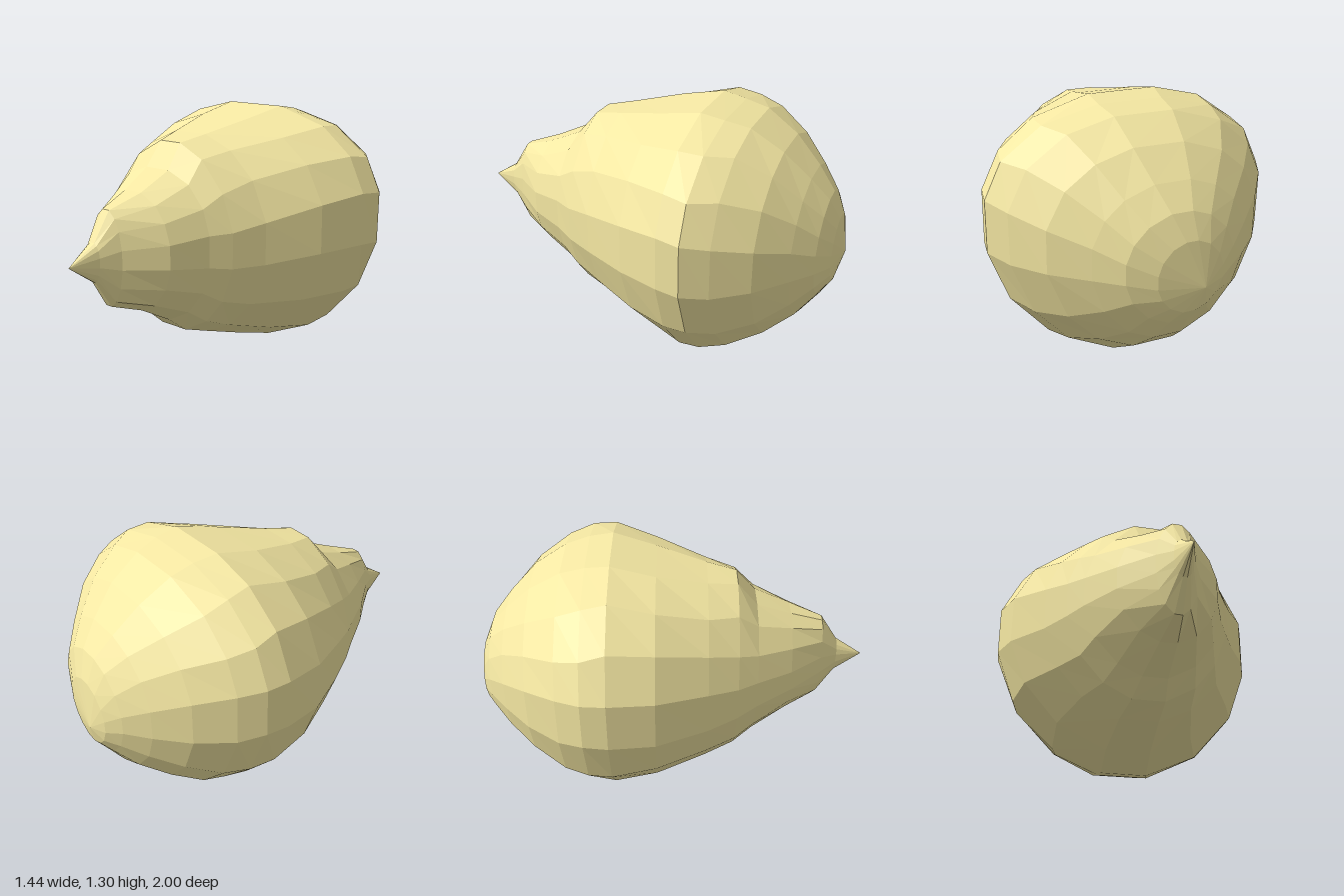
import * as THREE from 'three';

// Cross-sections from tip to rounded back:
// [z, left edge, right edge, bottom, top, height of widest point, upper roundness]
// Roundness below 1 is fuller than an ellipse, above 1 is leaner.
const SECTIONS = [
  [0.86, -0.05, 0.05, 0.57, 0.76, 0.67, 0.8],
  [0.77, -0.11, 0.10, 0.43, 0.90, 0.67, 1],
  [0.60, -0.25, 0.24, 0.37, 0.96, 0.67, 0.95],
  [0.42, -0.37, 0.32, 0.27, 1.04, 0.68, 0.9],
  [0.32, -0.44, 0.38, 0.19, 1.16, 0.69, 1.08],
  [0.17, -0.53, 0.46, 0.14, 1.19, 0.70, 1],
  [-0.08, -0.67, 0.61, 0.06, 1.25, 0.74, 0.92],
  [-0.30, -0.72, 0.70, 0.00, 1.30, 0.77, 0.88],
  [-0.42, -0.71, 0.72, 0.02, 1.28, 0.78, 0.88],
  [-0.54, -0.65, 0.65, 0.05, 1.25, 0.76, 0.9],
  [-0.70, -0.53, 0.53, 0.15, 1.15, 0.73, 0.93],
  [-0.83, -0.39, 0.37, 0.26, 1.02, 0.69, 0.95],
  [-0.92, -0.28, 0.25, 0.38, 0.91, 0.66, 1],
  [-0.97, -0.20, 0.12, 0.45, 0.79, 0.62, 1],
];
const SIDES = 16;
const LOWER_ROUNDNESS = 1.03;

function bodyGeometry() {
  const points = [0, 0.67, 1];
  // Flat facets face up, down and sideways; the reach of their corners is set to 1
  const reach = Math.cos(Math.PI / SIDES);
  const curve = (v, power) => Math.sign(v) * Math.min(1, Math.abs(v) / reach) ** power;

  SECTIONS.forEach(([z, x0, x1, y0, y1, mid, upper], i) => {
    for (let j = 0; j < SIDES; j++) {
      // Slightly uneven spacing makes irregular facets
      const base = ((j + 0.5) / SIDES) * Math.PI * 2;
      const a = base + 0.05 * Math.sin(2 * base) * Math.sin(i * 1.3 + j);
      const up = Math.sin(a) > 0;
      const power = up ? upper : LOWER_ROUNDNESS;
      points.push(
        (x0 + x1) / 2 + ((x1 - x0) / 2) * curve(Math.cos(a), power),
        mid + (up ? y1 - mid : mid - y0) * curve(Math.sin(a), power),
        z,
      );
    }
  });
  points.push(-0.1, 0.57, -1);

  const index = [];
  const at = (i, j) => 1 + i * SIDES + (j % SIDES);
  const last = SECTIONS.length - 1;
  const end = 1 + SECTIONS.length * SIDES;
  for (let j = 0; j < SIDES; j++) {
    index.push(0, at(0, j), at(0, j + 1)); // pointed tip
    for (let i = 0; i < last; i++) {
      const a = at(i, j), b = at(i, j + 1), c = at(i + 1, j), d = at(i + 1, j + 1);
      index.push(a, c, b, b, c, d);
    }
    index.push(end, at(last, j + 1), at(last, j)); // blunt back
  }

  const geometry = new THREE.BufferGeometry();
  geometry.setAttribute('position', new THREE.Float32BufferAttribute(points, 3));
  geometry.setIndex(index);
  const faceted = geometry.toNonIndexed();
  faceted.computeVertexNormals();
  return faceted;
}

export function createModel() {
  const group = new THREE.Group();
  group.name = 'pointedBulb';
  const material = new THREE.MeshStandardMaterial({ color: 0xf5e8a3, flatShading: true });
  const body = new THREE.Mesh(bodyGeometry(), material);
  body.name = 'bulbBody';
  group.add(body);
  return group;
}
